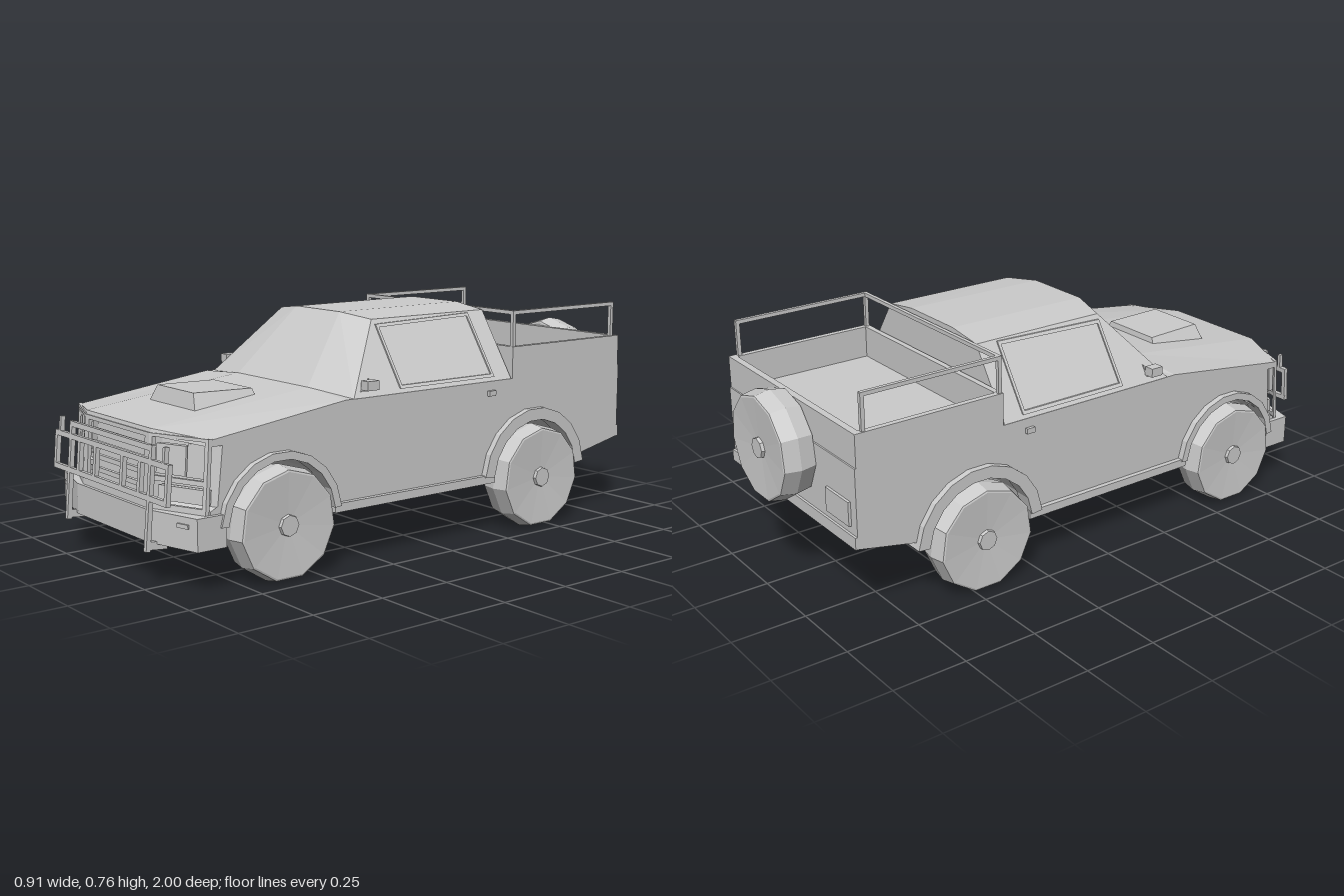
import * as THREE from 'three';
import { ConvexGeometry } from 'three/addons/geometries/ConvexGeometry.js';

const mat = new THREE.MeshStandardMaterial({ color: 0xcccccc, flatShading: true, side: THREE.DoubleSide });
const V2 = (p) => p.map(([a, b]) => new THREE.Vector2(a, b));
const AXLES = [{ name: 'front', z: 0.615, flare: 0.222 }, { name: 'rear', z: -0.455, flare: 0.238 }];
const WHEEL_Y = 0.18;

export function createModel() {
  const root = new THREE.Group();

  const add = (name, geo, parent = root) => {
    const m = new THREE.Mesh(geo, mat);
    m.name = name;
    parent.add(m);
    return m;
  };
  const box = (name, w, h, d, x, y, z, parent = root) => {
    const m = add(name, new THREE.BoxGeometry(w, h, d), parent);
    m.position.set(x, y, z);
    return m;
  };
  const extrude = (pts, depth, holes = [], steps = 1) => {
    const s = new THREE.Shape(V2(pts));
    holes.forEach((h) => s.holes.push(new THREE.Path(V2(h))));
    return new THREE.ExtrudeGeometry(s, { depth, steps, bevelEnabled: false });
  };
  const rect = (x0, y0, x1, y1) => [[x0, y0], [x1, y0], [x1, y1], [x0, y1]];
  // outline in (x, z), raised along y
  const plan = (pts, y, h, holes = []) => {
    const flip = (p) => p.map(([x, z]) => [x, -z]);
    return extrude(flip(pts), h, holes.map(flip)).rotateX(-Math.PI / 2).translate(0, y, 0);
  };
  // outline in (z, y), extruded along x and centred on x
  const side = (pts, x, w, holes, steps) =>
    extrude(pts, w, holes, steps).translate(0, 0, -w / 2).rotateY(-Math.PI / 2).translate(x, 0, 0);
  const warp = (geo, fn) => {
    const p = geo.attributes.position;
    const v = new THREE.Vector3();
    for (let i = 0; i < p.count; i++) {
      fn(v.fromBufferAttribute(p, i));
      p.setXYZ(i, v.x, v.y, v.z);
    }
    geo.computeVertexNormals();
    return geo;
  };
  const arc = (z, r, a0, a1, n = 9) => Array.from({ length: n + 1 }, (_, i) => {
    const a = a0 + (a1 - a0) * i / n;
    return [z + r * Math.cos(a), WHEEL_Y + r * Math.sin(a)];
  });
  // how far the nose sweeps back toward its corners
  const sweep = (x) => Math.max(0, Math.abs(x) - 0.2) / 0.2;

  // Lower body with hood and wheel arches
  const body = side([
    [0.935, 0.477], [0.36, 0.543], [0.3, 0.527], [-0.35, 0.527], [-0.89, 0.527], [-0.89, 0.265], [-0.67, 0.22],
    ...arc(-0.455, 0.2, Math.PI - 0.15, 0.1), ...arc(0.615, 0.2, Math.PI - 0.1, -0.1),
    [0.825, 0.14], [0.94, 0.14], [0.94, 0.25], [0.915, 0.26], [0.895, 0.457], [0.94, 0.457],
  ], 0, 0.8, [], 4);
  add('body', warp(body, (v) => {
    const t = sweep(v.x);
    if (v.z > 0.84) v.z -= 0.08 * t;
    if (v.y > 0.44 && v.z > 0.32) v.y -= 0.015 * t;
  }));

  // Cabin
  const cab = [];
  for (const s of [-1, 1]) {
    [[0.4, 0.525, 0.33], [0.2, 0.542, 0.36], [0.4, 0.525, -0.35], [0.25, 0.75, 0.14], [0.12, 0.766, 0.17],
      [0.25, 0.75, -0.35], [0.12, 0.768, -0.35]].forEach(([x, y, z]) => cab.push(new THREE.Vector3(s * x, y, z)));
  }
  add('cabin', new ConvexGeometry(cab));

  // Side window frames lying on the sloping cabin sides
  for (const s of [-1, 1]) {
    const onSide = (geo) => warp(geo, (v) => { v.x = s * (v.x + 0.4 - (v.y - 0.525) * 0.667); });
    add('sideWindowFrame', onSide(side(
      [[0.135, 0.54], [0.135, 0.735], [-0.275, 0.745], [-0.275, 0.54]], 0, 0.012,
      [[[0.125, 0.55], [0.125, 0.725], [-0.265, 0.735], [-0.265, 0.55]]])));
    add('quarterWindow', onSide(side([[0.295, 0.545], [0.245, 0.545], [0.245, 0.58]], 0, 0.012)));
    box('mirror', 0.035, 0.03, 0.045, s * 0.4, 0.565, 0.265);
    box('doorHandle', 0.02, 0.018, 0.03, s * 0.401, 0.487, -0.255);
    box('sill', 0.05, 0.028, 0.68, s * 0.392, 0.195, 0.075);
  }

  // Hood scoop
  const scoop = [];
  for (const s of [-1, 1]) {
    [[0.14, 0.49, 0.745], [0.128, 0.515, 0.51], [0.108, 0.55, 0.73], [0.112, 0.545, 0.515]]
      .forEach(([x, y, z]) => scoop.push(new THREE.Vector3(s * x, y, z)));
  }
  add('hoodScoop', new ConvexGeometry(scoop));

  // Front fascia: a grille panel and two lamp panels that follow the nose
  const onNose = (geo) => warp(geo, (v) => { v.z += 0.93 - 0.08 * sweep(v.x) + (0.457 - v.y) * 0.07; });
  add('grilleFrame', onNose(extrude(rect(-0.2, 0.24, 0.2, 0.465), 0.012, [rect(-0.175, 0.26, 0.175, 0.452)])));
  for (let i = 0; i < 4; i++) {
    add('grilleSlat', onNose(extrude(rect(-0.18, 0.29 + i * 0.04, 0.18, 0.305 + i * 0.04), 0.012).translate(0, 0, -0.012)));
  }
  for (const s of [-1, 1]) {
    const r = (x0, y0, x1, y1) => rect(s * x0, y0, s * x1, y1);
    add('lampFrame', onNose(extrude(r(0.2, 0.24, 0.4, 0.465), 0.012,
      [r(0.21, 0.34, 0.388, 0.455), r(0.21, 0.258, 0.388, 0.325)])));
    add('headlight', onNose(extrude(r(0.215, 0.345, 0.315, 0.435), 0.02).translate(0, 0, -0.02)));
    add('cornerLamp', onNose(extrude(r(0.325, 0.345, 0.382, 0.445), 0.02).translate(0, 0, -0.015)));
    add('lowerLamp', onNose(extrude(r(0.22, 0.265, 0.38, 0.31), 0.02).translate(0, 0, -0.025)));
  }

  // Front bumper
  add('frontBumper', plan([[-0.415, 0.815], [0.415, 0.815], [0.415, 0.915], [0.22, 0.968], [-0.22, 0.968], [-0.415, 0.915]], 0.14, 0.1));
  for (const s of [-1, 1]) {
    box('bumperLamp', 0.045, 0.013, 0.01, s * 0.362, 0.212, 0.93).rotation.y = s * 0.265;
  }

  // Bull bar, leaning back slightly
  const bull = new THREE.Group();
  bull.name = 'bullBar';
  bull.position.set(0, 0.12, 0.988);
  bull.rotation.x = -0.09;
  root.add(bull);
  const bar = (w, h, x, y) => box('bullBarTube', w, h, 0.015, x, y - 0.12, 0, bull);
  bar(0.5, 0.017, 0, 0.43);
  bar(0.71, 0.017, 0, 0.389);
  bar(0.71, 0.017, 0, 0.281);
  for (const s of [-1, 1]) {
    bar(0.015, 0.32, s * 0.25, 0.28);
    bar(0.015, 0.125, s * 0.347, 0.335);
    bar(0.016, 0.11, s * 0.19, 0.335);
    bar(0.016, 0.11, s * 0.085, 0.335);
    bar(0.012, 0.05, s * 0.325, 0.42);
    box('bullBarBracket', 0.015, 0.025, 0.07, s * 0.25, 0.018, -0.03, bull);
  }

  // Cargo bed walls
  add('bedWalls', plan(rect(-0.4, -0.885, 0.4, -0.355), 0.525, 0.11, [rect(-0.38, -0.862, 0.38, -0.375)]));

  // Bed rails: one hoop per side joined behind the cab
  const railY = 0.75;
  box('railCross', 0.79, 0.013, 0.013, 0, railY, -0.365);
  for (const s of [-1, 1]) {
    box('railTop', 0.013, 0.013, 0.5, s * 0.389, railY, -0.608);
    for (const z of [-0.365, -0.852]) box('railPost', 0.013, 0.125, 0.013, s * 0.389, 0.69, z);
    box('tailLamp', 0.135, 0.08, 0.014, s * 0.3, 0.37, -0.892);
  }
  box('tailgateLowerEdge', 0.8, 0.04, 0.018, 0, 0.285, -0.889);

  // Wheels: eleven-sided, crowned tread, dished faces, hub caps
  const tyre = new THREE.LatheGeometry(V2([[0, -0.045], [0.165, -0.055], [0.171, -0.053], [0.181, 0],
    [0.171, 0.053], [0.165, 0.055], [0, 0.045]]), 11, -Math.PI / 2).rotateZ(-Math.PI / 2);
  const hub = new THREE.CylinderGeometry(0.033, 0.036, 0.02, 8).rotateZ(-Math.PI / 2);
  const wheel = (name, x, y, z, turn) => {
    const g = new THREE.Group();
    g.name = name;
    add('tyre', tyre, g);
    add('hub', hub, g).position.x = 0.048;
    g.position.set(x, y, z);
    g.rotation.y = turn;
    root.add(g);
  };
  for (const a of AXLES) {
    for (const s of [-1, 1]) {
      wheel(a.name + 'Wheel', s * 0.397, WHEEL_Y, a.z, s > 0 ? 0 : Math.PI);
      const ring = [...arc(a.z, a.flare, Math.PI - 0.1, 0.1), ...arc(a.z, 0.197, 0.1, Math.PI - 0.1)];
      add(a.name + 'Flare', side(ring, s * 0.392, 0.06));
    }
    add(a.name + 'Axle', new THREE.CylinderGeometry(0.024, 0.024, 0.72, 6).rotateZ(Math.PI / 2))
      .position.set(0, WHEEL_Y, a.z);
  }
  wheel('spareWheel', 0, 0.48, -0.943, Math.PI / 2);

  return root;
}
